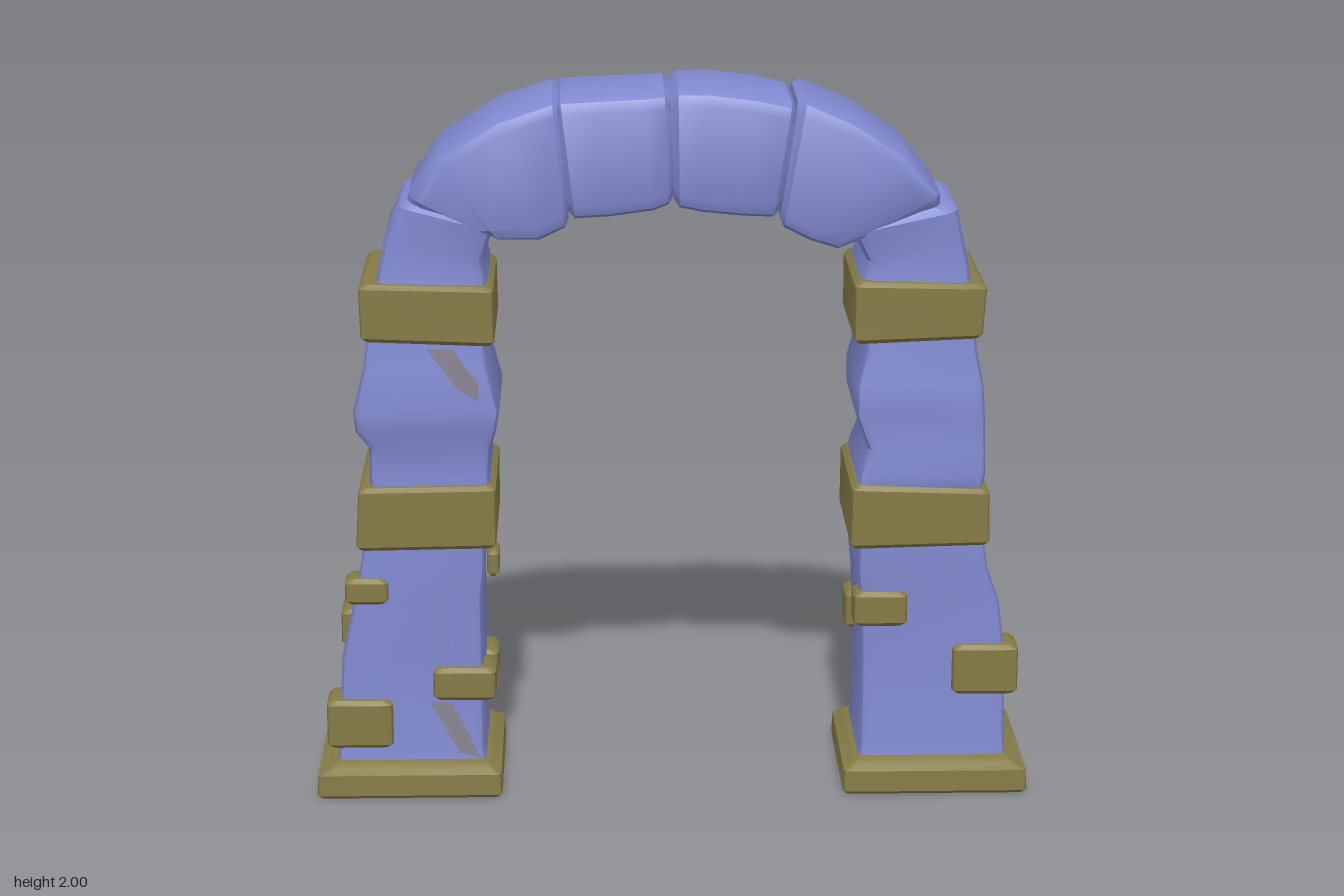
import * as THREE from 'three';
import { toCreasedNormals } from 'three/addons/utils/BufferGeometryUtils.js';

const stone = new THREE.MeshStandardMaterial({ name: 'blue stone', color: 0x828ad2 });
const trim = new THREE.MeshStandardMaterial({ name: 'olive trim', color: 0x857b46 });
const stain = new THREE.MeshStandardMaterial({ name: 'grey stain', color: 0x8a8593, side: THREE.DoubleSide });

// Rounded block lofted through stations [outerX, outerY, innerX, innerY, zFront, zBack]
function block(stations, radius, bevel, crease = 0.7) {
  const mix = (a, b, t) => a.map((v, i) => v + (b[i] - v) * t);
  const inset = ([ox, oy, ix, iy, f, b]) => {
    const k = bevel / Math.hypot(ix - ox, iy - oy);
    return [ox + (ix - ox) * k, oy + (iy - oy) * k, ix - (ix - ox) * k, iy - (iy - oy) * k, f - bevel, b + bevel];
  };
  const pull = (a, b) => mix(a, b, Math.min(0.4, bevel / Math.hypot((a[0] + a[2] - b[0] - b[2]) / 2, (a[1] + a[3] - b[1] - b[3]) / 2)));
  const n = stations.length, first = stations[0], last = stations[n - 1];
  const rows = [inset(first), pull(first, stations[1]), ...stations.slice(1, -1), pull(last, stations[n - 2]), inset(last)];

  const pos = [], idx = [], sides = 12;
  for (const [ox, oy, ix, iy, f, b] of rows) {
    const len = Math.hypot(ix - ox, iy - oy), hu = len / 2, hz = (f - b) / 2;
    for (let i = 0; i < sides; i++) {
      const corner = Math.floor(i / 3), a = corner * Math.PI / 2 + (i % 3) * Math.PI / 4;
      const su = corner === 0 || corner === 3 ? 1 : -1, sz = corner < 2 ? 1 : -1;
      const u = su * (hu - radius) + Math.cos(a) * radius;
      const z = sz * (hz - radius) + Math.sin(a) * radius;
      pos.push((ox + ix) / 2 + (ix - ox) / len * u, (oy + iy) / 2 + (iy - oy) / len * u, (f + b) / 2 + z);
    }
  }
  // Which way round the rings run relative to the path
  const tx = last[0] + last[2] - first[0] - first[2], ty = last[1] + last[3] - first[1] - first[3];
  const flip = (first[3] - first[1]) * tx - (first[2] - first[0]) * ty < 0;
  const tri = (a, b, c) => (flip ? idx.push(a, c, b) : idx.push(a, b, c));
  for (let r = 0; r < rows.length - 1; r++) {
    for (let i = 0; i < sides; i++) {
      const j = (i + 1) % sides, p = r * sides, q = p + sides;
      tri(p + i, p + j, q + j);
      tri(p + i, q + j, q + i);
    }
  }
  const e = (rows.length - 1) * sides;
  for (let i = 1; i < sides - 1; i++) {
    tri(0, i + 1, i);
    tri(e, e + i, e + i + 1);
  }
  const g = new THREE.BufferGeometry();
  g.setAttribute('position', new THREE.Float32BufferAttribute(pos, 3));
  g.setIndex(idx);
  return toCreasedNormals(g, crease);
}

export function createModel() {
  const group = new THREE.Group();
  const add = (name, geometry, material) => {
    const m = new THREE.Mesh(geometry, material);
    m.name = name;
    group.add(m);
  };
  // Level station: height, outer x, inner x, front z, back z
  const level = ([y, o, i, f, b]) => [o, y, i, y, f, b];

  // Lower and middle shafts
  const shafts = {
    rightLowerShaft: [[0.06, -0.95, -0.52, 0.2, -0.2], [0.13, -0.94, -0.53, 0.19, -0.19], [0.4, -0.925, -0.53, 0.19, -0.19],
      [0.58, -0.885, -0.53, 0.2, -0.2], [0.68, -0.865, -0.52, 0.2, -0.2], [0.78, -0.85, -0.52, 0.2, -0.2]],
    leftLowerShaft: [[0.06, 0.95, 0.52, 0.2, -0.2], [0.13, 0.94, 0.53, 0.19, -0.19], [0.4, 0.935, 0.53, 0.19, -0.19],
      [0.55, 0.915, 0.525, 0.19, -0.2], [0.65, 0.88, 0.515, 0.2, -0.2], [0.78, 0.86, 0.52, 0.2, -0.2]],
    rightMiddleShaft: [[0.85, -0.83, -0.5, 0.2, -0.2], [0.93, -0.835, -0.505, 0.2, -0.19], [1.01, -0.835, -0.5, 0.195, -0.19],
      [1.06, -0.87, -0.485, 0.21, -0.2], [1.12, -0.875, -0.475, 0.215, -0.205], [1.24, -0.845, -0.505, 0.2, -0.195], [1.36, -0.83, -0.52, 0.195, -0.19]],
    leftMiddleShaft: [[0.85, 0.85, 0.51, 0.2, -0.2], [0.93, 0.865, 0.515, 0.215, -0.2], [1.0, 0.865, 0.54, 0.2, -0.19],
      [1.1, 0.86, 0.505, 0.21, -0.2], [1.18, 0.855, 0.505, 0.205, -0.2], [1.28, 0.835, 0.53, 0.19, -0.19], [1.36, 0.83, 0.53, 0.19, -0.19]],
  };
  for (const [name, rows] of Object.entries(shafts)) add(name, block(rows.map(level), 0.025, 0.01), stone);

  // Leaning shoulder stones above the upper bands
  add('rightShoulder', block([[-0.82, 1.42, -0.5, 1.42, 0.2, -0.2], [-0.8, 1.51, -0.505, 1.49, 0.19, -0.19],
    [-0.78, 1.6, -0.515, 1.54, 0.195, -0.19], [-0.73, 1.71, -0.48, 1.64, 0.205, -0.2]], 0.035, 0.02), stone);
  add('leftShoulder', block([[0.82, 1.42, 0.5, 1.42, 0.2, -0.2], [0.81, 1.51, 0.515, 1.49, 0.19, -0.19],
    [0.79, 1.6, 0.53, 1.53, 0.195, -0.19], [0.77, 1.69, 0.48, 1.63, 0.205, -0.2]], 0.035, 0.02), stone);

  // Four arch stones
  const arch = [
    [[-0.735, 1.69, -0.49, 1.61, 0.2, -0.19], [-0.63, 1.83, -0.47, 1.595, 0.215, -0.205], [-0.47, 1.93, -0.36, 1.595, 0.215, -0.2], [-0.3, 1.985, -0.28, 1.63, 0.2, -0.19]],
    [[-0.32, 1.98, -0.28, 1.65, 0.205, -0.19], [-0.2, 1.985, -0.17, 1.655, 0.2, -0.185], [-0.08, 1.99, -0.05, 1.67, 0.195, -0.185], [0, 1.995, 0.005, 1.69, 0.185, -0.175]],
    [[-0.005, 2, 0.005, 1.68, 0.19, -0.185], [0.1, 2, 0.08, 1.665, 0.195, -0.195], [0.23, 1.985, 0.19, 1.655, 0.2, -0.195], [0.34, 1.96, 0.29, 1.65, 0.195, -0.185]],
    [[0.34, 1.985, 0.29, 1.63, 0.2, -0.19], [0.49, 1.92, 0.37, 1.59, 0.21, -0.205], [0.63, 1.83, 0.45, 1.565, 0.21, -0.2], [0.745, 1.69, 0.505, 1.59, 0.195, -0.19]],
  ];
  arch.forEach((rows, i) => add('archStone' + (i + 1), block(rows, 0.04, 0.018), stone));

  // Bands round the shafts, and splayed base slabs
  const bands = {
    rightUpperBand: [[-0.848, 1.32, -0.485, 1.305, 0.22, -0.22], [-0.852, 1.48, -0.488, 1.47, 0.22, -0.22]],
    leftUpperBand: [[0.845, 1.32, 0.495, 1.305, 0.22, -0.22], [0.855, 1.47, 0.495, 1.48, 0.22, -0.22]],
    rightLowerBand: [[-0.875, 0.725, -0.488, 0.73, 0.225, -0.225], [-0.865, 0.905, -0.488, 0.91, 0.225, -0.225]],
    leftLowerBand: [[0.88, 0.73, 0.493, 0.72, 0.225, -0.225], [0.875, 0.89, 0.495, 0.905, 0.225, -0.225]],
  };
  for (const [name, rows] of Object.entries(bands)) add(name, block(rows, 0.012, 0.012), trim);
  for (const s of [-1, 1]) {
    const rows = [[0, 1, 0.48, 0.245, -0.245], [0.07, 0.997, 0.483, 0.243, -0.243], [0.085, 0.965, 0.505, 0.225, -0.225], [0.1, 0.945, 0.52, 0.205, -0.205]];
    add(s < 0 ? 'rightBase' : 'leftBase', block(rows.map(([y, o, i, f, b]) => level([y, s * o, s * i, f, b])), 0.012, 0.01), trim);
  }

  // Small stones set in the corners: x from, x to, y from, y to, z front, z back
  const inlays = [
    [-0.91, -0.79, 0.565, 0.64, 0.215, 0.12], [-0.97, -0.785, 0.14, 0.28, 0.215, 0.08],
    [-0.67, -0.495, 0.28, 0.375, 0.215, 0.09], [-0.525, -0.49, 0.54, 0.62, -0.1, -0.215],
    [-0.64, -0.495, 0.24, 0.325, -0.08, -0.215], [-0.945, -0.78, 0.34, 0.45, -0.08, -0.225],
    [0.505, 0.655, 0.49, 0.59, 0.215, 0.11], [0.785, 0.97, 0.285, 0.43, 0.212, 0.085],
    [0.505, 0.63, 0.38, 0.49, -0.09, -0.212], [0.8, 0.97, 0.155, 0.295, -0.095, -0.22],
  ];
  inlays.forEach(([x0, x1, y0, y1, f, b], i) => {
    add('cornerInlay' + (i + 1), block([[x0, y0, x1, y0, f, b], [x0, y1, x1, y1, f, b]], 0.015, 0.012), trim);
  });

  // Faint stains lying on the shaft faces
  const streak = (name, points, z) => {
    const g = new THREE.ShapeGeometry(new THREE.Shape(points.map(([x, y]) => new THREE.Vector2(x, y))));
    g.translate(0, 0, z);
    add(name, g, stain);
  };
  streak('upperStain', [[-0.67, 1.3], [-0.6, 1.3], [-0.53, 1.2], [-0.53, 1.15], [-0.59, 1.19]], 0.217);
  streak('lowerStain', [[-0.68, 0.27], [-0.62, 0.27], [-0.54, 0.1], [-0.6, 0.12]], 0.194);
  streak('backStain', [[0.68, 0.27], [0.62, 0.27], [0.54, 0.1], [0.6, 0.12]], -0.194);
  return group;
}
